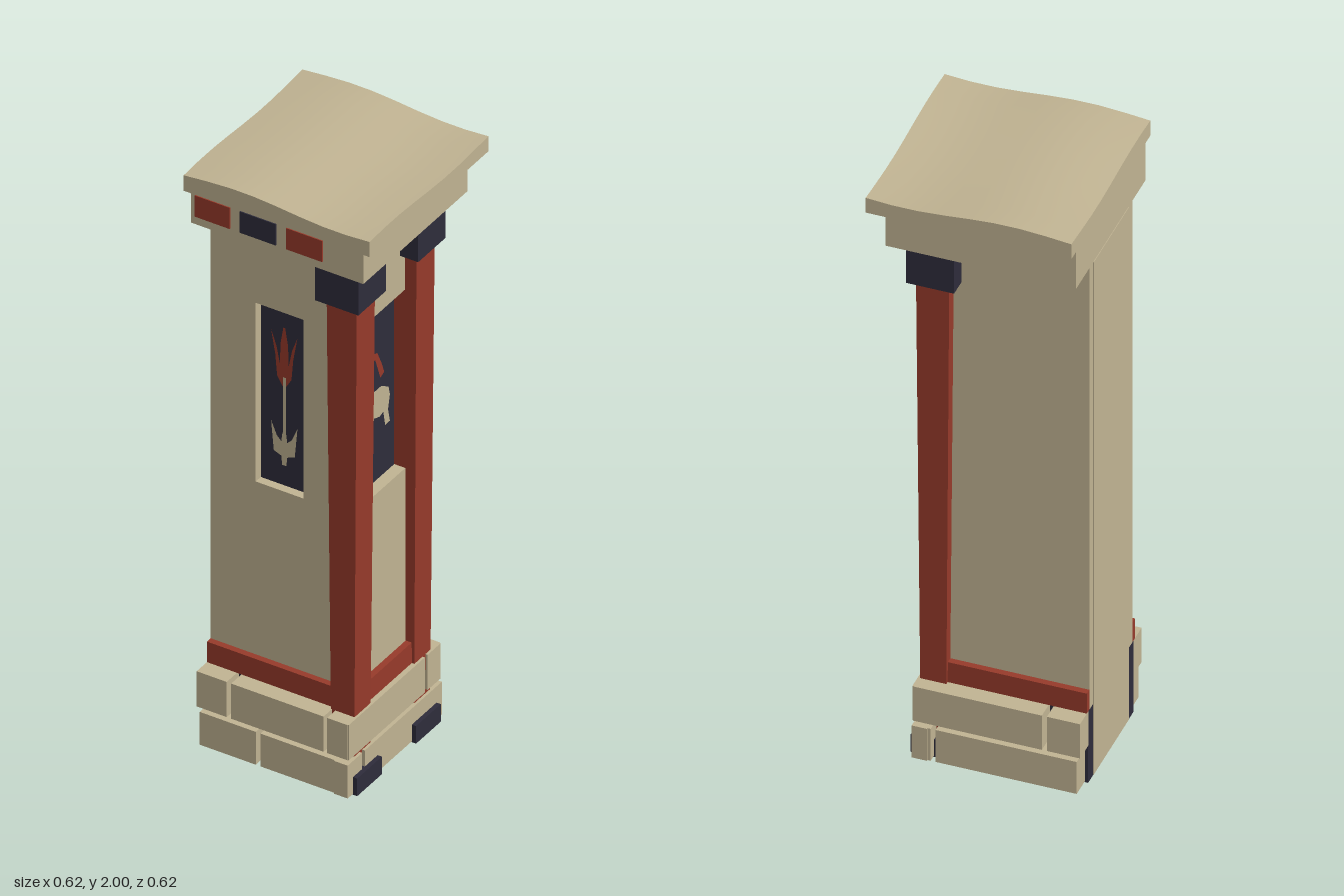
import * as THREE from 'three';

export function createModel() {
  const model = new THREE.Group();
  model.name = 'wallPillar';

  const mat = (name, color) => {
    const m = new THREE.MeshStandardMaterial({ color });
    m.name = name;
    return m;
  };
  const stone = mat('sandstone', 0xc0b392);
  const red = mat('brickRed', 0x963a2a);
  const dark = mat('slateBlue', 0x2e2c3b);

  const add = (name, geometry, material) => {
    const mesh = new THREE.Mesh(geometry, material);
    mesh.name = name;
    model.add(mesh);
    return mesh;
  };
  // Box given by its limits on each axis
  const box = (name, material, x0, x1, y0, y1, z0, z1) => {
    const g = new THREE.BoxGeometry(x1 - x0, y1 - y0, z1 - z0);
    g.translate((x0 + x1) / 2, (y0 + y1) / 2, (z0 + z1) / 2);
    return add(name, g, material);
  };
  const outline = (pts) => new THREE.Shape(pts.map(([x, y]) => new THREE.Vector2(x, y)));

  // Shaft: core, front skin with a window recess, back skin, right skin around its recess
  box('shaftCore', stone, -0.312, 0.12, 0.002, 1.8, -0.14, 0.14);
  const front = outline([[-0.31, 0.25], [0.16, 0.25], [0.16, 1.8], [-0.31, 1.8]]);
  front.holes.push(outline([[-0.16, 0.91], [-0.16, 1.52], [0, 1.52], [0, 0.91]]));
  const frontSkin = new THREE.ExtrudeGeometry(front, { depth: 0.03, bevelEnabled: false });
  frontSkin.translate(0, 0, 0.14);
  add('shaftFront', frontSkin, stone);
  box('shaftBack', stone, -0.31, 0.16, 0.25, 1.8, -0.17, -0.14);
  box('shaftRightLower', stone, 0.12, 0.16, 0.25, 0.91, -0.14, 0.14);
  box('shaftRightUpper', stone, 0.12, 0.16, 1.52, 1.8, -0.14, 0.14);

  // Dark picture panels in the recesses
  box('frontPanel', dark, -0.16, 0, 0.91, 1.52, 0.14, 0.143);
  box('rightPanel', dark, 0.12, 0.123, 0.91, 1.52, -0.14, 0.14);

  // Flat painted figures: front ones face +z, side ones face +x
  const paintFront = (name, material, pts) => {
    add(name, new THREE.ShapeGeometry(outline(pts)), material).position.z = 0.146;
  };
  const paintSide = (name, material, pts) => {
    const m = add(name, new THREE.ShapeGeometry(outline(pts)), material);
    m.rotation.y = Math.PI / 2;
    m.position.x = 0.126;
  };
  const cx = -0.08;
  paintFront('plantStem', stone, [[cx - 0.005, 1.08], [cx + 0.005, 1.08], [cx + 0.005, 1.28], [cx - 0.005, 1.28]]);
  const half = [[0.007, 0.98], [0.01, 1.01], [0.035, 1.02], [0.044, 1.12], [0.025, 1.075], [0.01, 1.06], [0.006, 1.09]];
  const mirrored = (pts) => [
    ...pts.map(([x, y]) => [cx + x, y]),
    ...[...pts].reverse().map(([x, y]) => [cx - x, y]),
  ];
  paintFront('plantRoot', stone, mirrored(half));
  paintFront('plantFlower', red, mirrored([
    [0.006, 1.25], [0.024, 1.28], [0.03, 1.35], [0.044, 1.43],
    [0.026, 1.38], [0.014, 1.32], [0.013, 1.39], [0.003, 1.45],
  ]));
  paintSide('bull', stone, [
    [-0.088, 1.155], [-0.06, 1.15], [-0.035, 1.125], [-0.02, 1.12], [-0.014, 1.065], [-0.002, 1.065],
    [0, 1.13], [0.03, 1.12], [0.05, 1.125], [0.06, 1.075], [0.085, 1.075], [0.075, 1.12],
    [0.085, 1.165], [0.078, 1.195], [0.04, 1.22], [0, 1.22], [-0.025, 1.205], [-0.055, 1.215],
    [-0.072, 1.195], [-0.088, 1.2],
  ]);
  paintSide('bullHorn', red, [[-0.08, 1.2], [-0.07, 1.205], [-0.078, 1.235], [-0.086, 1.25]]);
  paintSide('leapingFigure', red, [
    [-0.008, 1.33], [0.008, 1.325], [0.035, 1.25], [0.055, 1.26], [0.04, 1.3], [0.018, 1.345], [0, 1.35],
  ]);

  // Corner columns, wider towards the top, with dark capitals and feet
  for (const s of [1, -1]) {
    const g = new THREE.BoxGeometry(1, 1.59, 1);
    const p = g.attributes.position;
    for (let i = 0; i < p.count; i++) {
      const top = p.getY(i) > 0;
      p.setXYZ(i,
        0.149 + p.getX(i) * (top ? 0.1 : 0.076),
        0.855 + p.getY(i),
        s * 0.1575 + p.getZ(i) * (top ? 0.096 : 0.084));
    }
    g.computeVertexNormals();
    add('cornerColumn', g, red);
    const z = s * 0.1575;
    box('capital', dark, 0.075, 0.22, 1.65, 1.8, z - 0.0725, z + 0.0725);
    box('columnFoot', dark, 0.08, 0.21, 0, 0.06, s * 0.155 - 0.065, s * 0.155 + 0.065);
    // Red band above the base
    box('baseBand', red, -0.31, 0.12, 0.25, 0.32, s > 0 ? 0.16 : -0.19, s > 0 ? 0.19 : -0.16);
  }
  box('sideBand', red, 0.14, 0.18, 0.25, 0.32, -0.12, 0.12);

  // Base: dark mortar core with stone blocks on three sides
  box('baseCore', dark, -0.31, 0.16, 0, 0.25, -0.18, 0.18);
  const upper = [0.13, 0.25];
  const lower = [0.003, 0.115];
  const faceRows = [
    [1, upper, [[-0.31, -0.21], [-0.195, 0.113], [0.125, 0.193]]],
    [1, lower, [[-0.3, -0.113], [-0.097, 0.193]]],
    [-1, upper, [[-0.31, -0.21], [-0.195, 0.193]]],
    [-1, lower, [[-0.3, 0.125], [0.14, 0.193]]],
  ];
  for (const [s, [y0, y1], blocks] of faceRows)
    for (const [x0, x1] of blocks)
      box('baseBlock', stone, x0, x1, y0, y1, s > 0 ? 0.178 : -0.244, s > 0 ? 0.244 : -0.178);
  const sideRows = [
    [upper, [[-0.242, -0.173], [-0.158, 0.242]]],
    [lower, [[-0.248, 0.158], [0.172, 0.248]]],
  ];
  for (const [[y0, y1], blocks] of sideRows)
    for (const [z0, z1] of blocks) box('sideBlock', stone, 0.15, 0.196, y0, y1, z0, z1);

  // Entablature with three painted tiles on the front
  box('entablature', stone, -0.31, 0.265, 1.8, 1.932, -0.275, 0.275);
  [[-0.295, -0.178, red], [-0.145, -0.025, dark], [0.01, 0.13, red]].forEach(([x0, x1, m]) =>
    box('friezeTile', m, x0, x1, 1.828, 1.9, 0.274, 0.279));

  // Gently uneven roof slab
  const roof = new THREE.BoxGeometry(0.62, 0.07, 0.625, 8, 1, 8);
  const rp = roof.attributes.position;
  for (let i = 0; i < rp.count; i++) {
    const x = rp.getX(i), z = rp.getZ(i);
    const wave = 1.983 + 0.01 * Math.cos(10 * (x + 0.12)) + 0.007 * Math.cos(10 * (z - 0.2));
    rp.setY(i, rp.getY(i) > 0 ? wave : 1.93);
  }
  roof.computeVertexNormals();
  add('roofSlab', roof, stone);

  return model;
}
